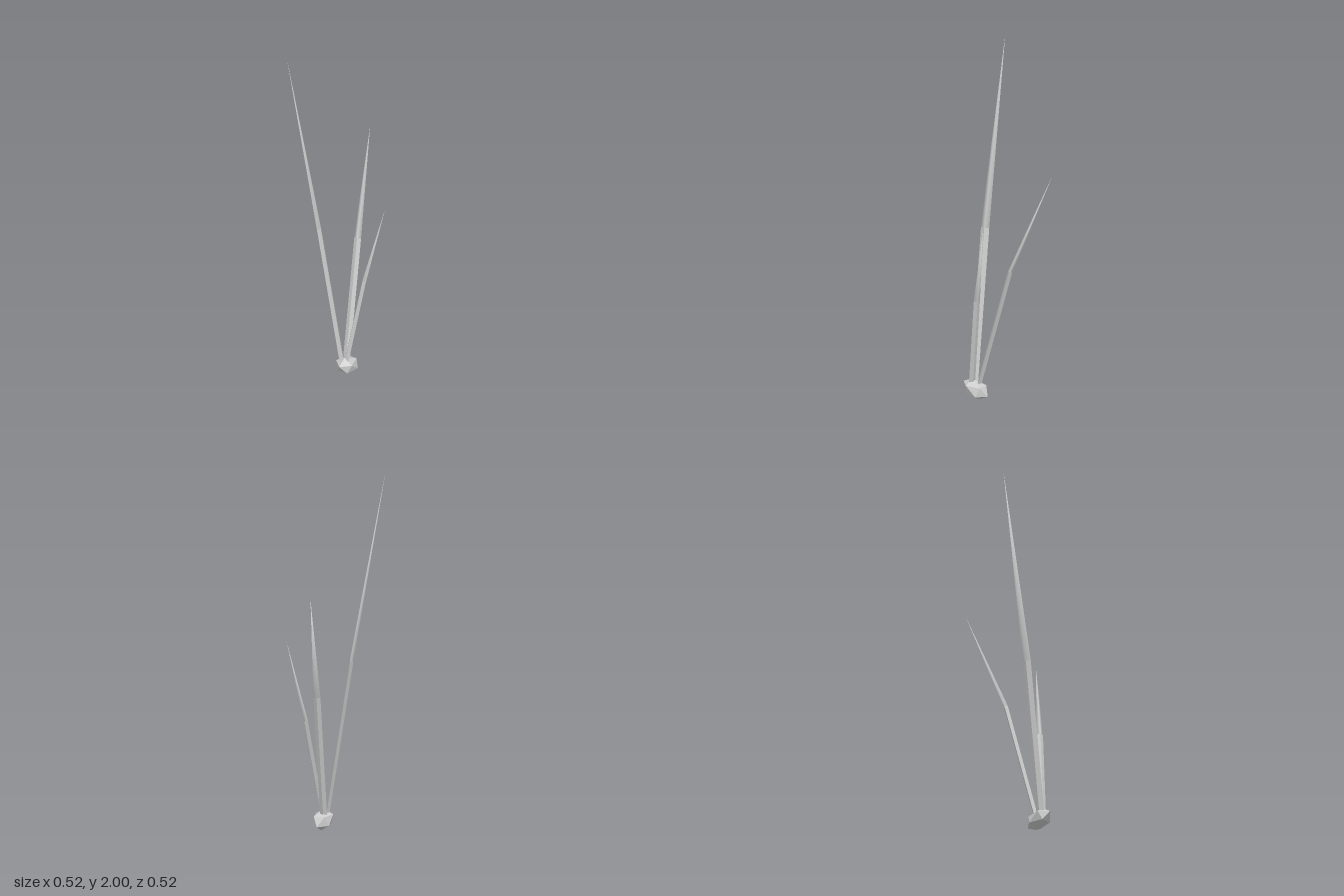
import * as THREE from 'three';
import { mergeGeometries } from 'three/addons/utils/BufferGeometryUtils.js';

const faceted = new THREE.MeshStandardMaterial({ color: 0xcccccc, flatShading: true });
const smooth = new THREE.MeshStandardMaterial({ color: 0xcccccc });
const V = (a) => new THREE.Vector3(...a);

// Four-sided blade: a sharp-edged shaft from base to bend, then a smooth taper to the tip
function makeBlade(name, { base, bend, tip, side, width, thickness }) {
  const axis = V(bend).sub(V(base)).normalize();
  const across = V(side).normalize();
  const out = new THREE.Vector3().crossVectors(axis, across).normalize();
  const ring = (centre) => [0, 1, 2, 3].map((i) => {
    const a = (i * Math.PI) / 2;
    return V(centre)
      .addScaledVector(across, Math.cos(a) * width / 2)
      .addScaledVector(out, Math.sin(a) * thickness / 2);
  });
  const lower = ring(base), upper = ring(bend), foot = V(base);
  const shaftPoints = [], taperIndex = [];
  for (let i = 0; i < 4; i++) {
    const j = (i + 1) % 4;
    shaftPoints.push(lower[i], lower[j], upper[j], lower[i], upper[j], upper[i]);
    shaftPoints.push(lower[j], lower[i], foot);
    taperIndex.push(i, j, 4);
  }
  const shaft = new THREE.BufferGeometry().setFromPoints(shaftPoints);
  const taper = new THREE.BufferGeometry().setFromPoints([...upper, V(tip)]);
  taper.setIndex(taperIndex);
  shaft.computeVertexNormals();
  taper.computeVertexNormals();
  const mesh = new THREE.Mesh(mergeGeometries([shaft, taper.toNonIndexed()]), smooth);
  mesh.name = name;
  return mesh;
}

export function createModel() {
  const group = new THREE.Group();
  group.name = 'spikyBlades';

  // Faceted root: an icosahedron stretched pole to pole, tilted up at the front
  const rootGeometry = new THREE.IcosahedronGeometry(1, 0);
  rootGeometry.rotateX(-Math.atan(2 / (1 + Math.sqrt(5))));
  rootGeometry.scale(0.059, 0.052, 0.085);
  rootGeometry.rotateX(-0.36);
  rootGeometry.rotateY(-0.137);
  rootGeometry.translate(0.094, 0.057, 0.178);
  const root = new THREE.Mesh(rootGeometry, faceted);
  root.name = 'root';
  group.add(root);

  // Three blades fanning out of the root
  group.add(makeBlade('tallBlade', {
    base: [0.073, 0.08, 0.199], bend: [-0.063, 0.94, 0.199], tip: [-0.262, 2, 0.176],
    side: [0, 0, 1], width: 0.05, thickness: 0.022,
  }));
  group.add(makeBlade('backBlade', {
    base: [0.084, 0.08, 0.162], bend: [0.07, 0.77, -0.02], tip: [0.038, 1.36, -0.26],
    side: [1, 0, -0.08], width: 0.039, thickness: 0.024,
  }));
  group.add(makeBlade('shortBlade', {
    base: [0.099, 0.08, 0.198], bend: [0.175, 0.61, 0.13], tip: [0.262, 1.06, 0.05],
    side: [0.75, 0, 0.6], width: 0.037, thickness: 0.022,
  }));

  return group;
}
